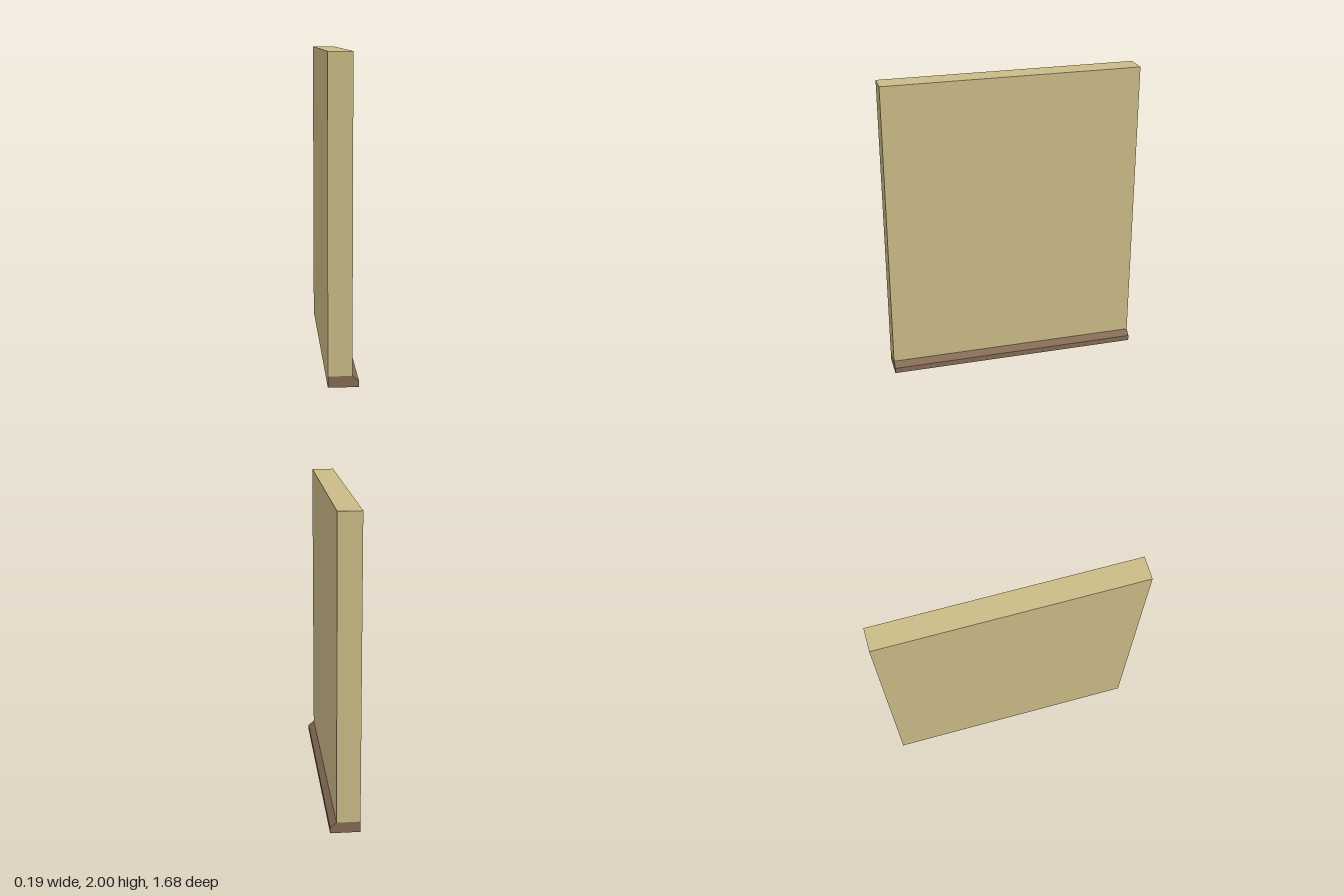
import * as THREE from 'three';

const DEPTH = 1.68, BACK = -0.094, FACE = 0.054, TOE = 0.094, SKIRT_TOP = 0.07;

export function createModel() {
  const model = new THREE.Group();
  const plaster = new THREE.MeshStandardMaterial({ color: 0xcabb86 });
  const wood = new THREE.MeshStandardMaterial({ color: 0x856b55 });

  // Wall panel standing on the base
  const wall = new THREE.Mesh(new THREE.BoxGeometry(FACE - BACK, 2 - SKIRT_TOP, DEPTH), plaster);
  wall.name = 'wallPanel';
  wall.position.set((BACK + FACE) / 2, (2 + SKIRT_TOP) / 2, 0);
  model.add(wall);

  // Base with a chamfered skirting along its +x side
  const profile = new THREE.Shape([
    [FACE, SKIRT_TOP], [BACK, SKIRT_TOP], [BACK, 0], [TOE, 0], [TOE, 0.037],
  ].map(([x, y]) => new THREE.Vector2(x, y)));
  const geometry = new THREE.ExtrudeGeometry(profile, { depth: DEPTH, bevelEnabled: false });
  geometry.translate(0, 0, -DEPTH / 2);

  // Underside and back are wall coloured; ends, toe, top and chamfer are wood
  geometry.clearGroups();
  geometry.addGroup(0, 24, 0);
  geometry.addGroup(24, 12, 1);
  geometry.addGroup(36, 12, 0);
  const skirting = new THREE.Mesh(geometry, [wood, plaster]);
  skirting.name = 'skirtingBase';
  model.add(skirting);

  return model;
}
